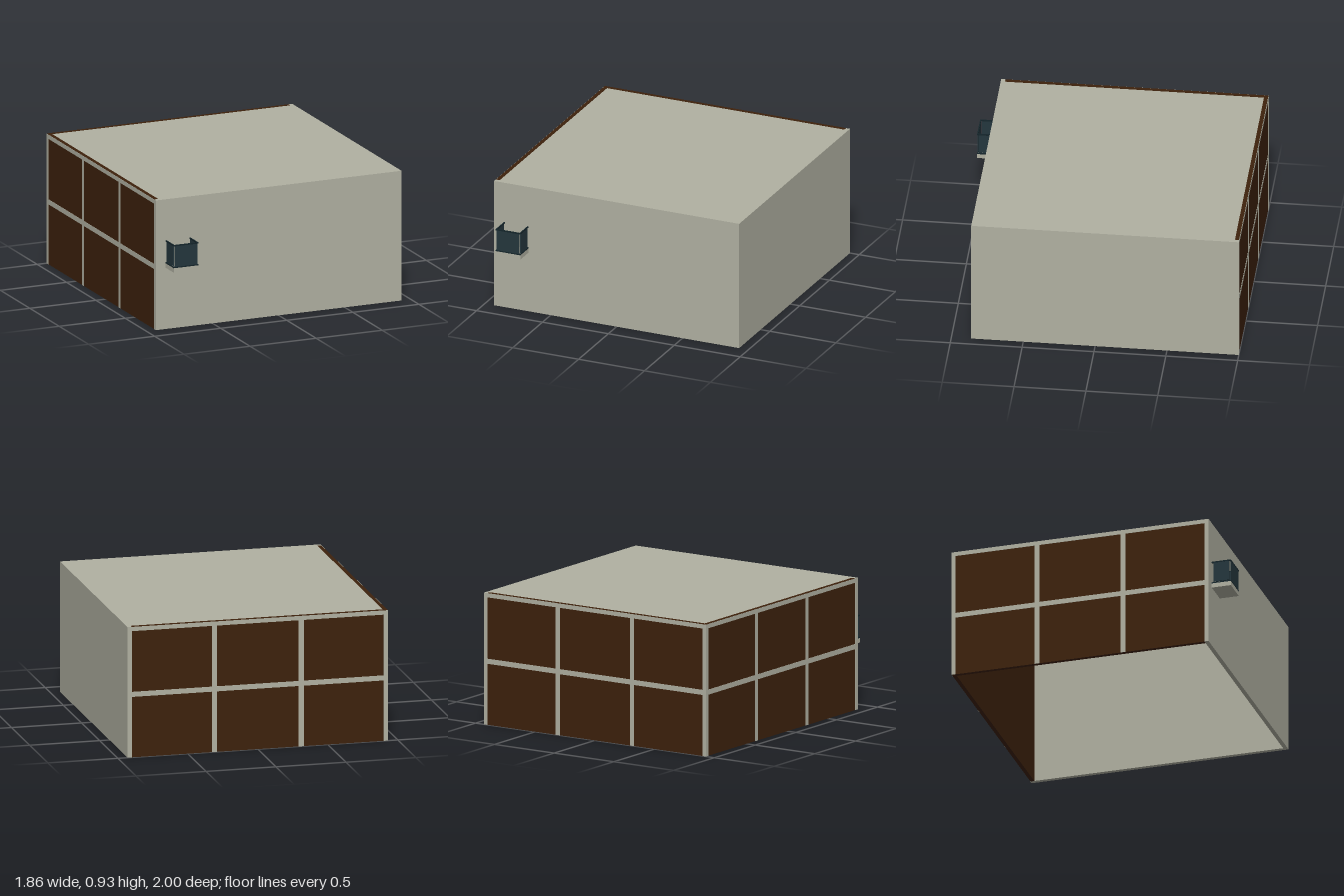
import * as THREE from 'three';

const mat = (name, color) => {
  const m = new THREE.MeshStandardMaterial({ color });
  m.name = name;
  return m;
};

export function createModel() {
  const concrete = mat('concrete', 0xb0b0a1);
  const brown = mat('brown glazing', 0x3d210c);
  const glass = mat('dark glass', 0x24363d);
  const metal = mat('dark metal', 0x14252b);

  const model = new THREE.Group();
  model.name = 'building';

  // Box given by its lowest and highest corners
  const block = (parent, name, material, [x0, y0, z0], [x1, y1, z1]) => {
    const mesh = new THREE.Mesh(new THREE.BoxGeometry(x1 - x0, y1 - y0, z1 - z0), material);
    mesh.position.set((x0 + x1) / 2, (y0 + y1) / 2, (z0 + z1) / 2);
    mesh.name = name;
    parent.add(mesh);
  };

  // Shell, open underneath
  const W = 0.93, H = 0.932, back = -1, front = 0.862, t = 0.03;
  const roofY = H - t;
  block(model, 'roof', concrete, [-W, roofY, back], [W, H, front]);
  block(model, 'frontWall', concrete, [-W, 0, front - t], [W, roofY, front]);
  block(model, 'leftWall', concrete, [W - t, 0, back], [W, roofY, front - t]);

  // Glazed walls, set just inside the frame and capping the roof edge
  const inset = 0.002, cap = H + 0.001;
  block(model, 'backGlazing', brown, [-W + inset, 0, back + inset], [W - t, cap, back + t]);
  block(model, 'rightGlazing', brown, [-W + inset, 0, back + t], [-W + t, cap, front - t]);

  // Thin frame bars on the glazed walls
  const bar = 0.036, midY = 0.45;
  const plate = 0.004;
  block(model, 'backRail', concrete, [-W, midY - bar / 2, back], [W - t, midY + bar / 2, back + plate]);
  block(model, 'rightRail', concrete, [-W, midY - bar / 2, back], [-W + plate, midY + bar / 2, front - t]);
  block(model, 'backCornerPost', concrete, [-W, 0, back], [-W + t, roofY, back + plate]);
  block(model, 'rightCornerPost', concrete, [-W, 0, back + plate], [-W + plate, roofY, back + t]);
  for (const i of [1, 2]) {
    const x = -W + (2 * W * i) / 3;
    const z = back + ((front - back) * i) / 3;
    block(model, 'backMullion', concrete, [x - bar / 2, 0, back], [x + bar / 2, roofY, back + plate]);
    block(model, 'rightMullion', concrete, [-W, 0, z - bar / 2], [-W + plate, roofY, z + bar / 2]);
  }

  // Small balcony on the front
  const balcony = new THREE.Group();
  balcony.name = 'balcony';
  model.add(balcony);
  const x0 = -0.855, x1 = -0.668, z1 = 1, r = 0.008;
  block(balcony, 'balconyFloor', concrete, [x0, 0.44, front], [x1, 0.472, z1]);
  for (const [y0, y1] of [[0.472, 0.48], [0.628, 0.637]]) {
    block(balcony, 'frontRailing', metal, [x0, y0, z1 - r], [x1, y1, z1]);
    for (const x of [x0, x1 - r])
      block(balcony, 'sideRailing', metal, [x, y0, front], [x + r, y1, z1 - r]);
  }
  block(balcony, 'frontPane', glass, [x0 + 0.01, 0.48, z1 - 0.007], [x1 - 0.01, 0.628, z1 - 0.001]);
  for (const x of [x0 + 0.001, x1 - 0.007])
    block(balcony, 'sidePane', glass, [x, 0.485, front + 0.012], [x + 0.006, 0.628, z1 - 0.012]);

  return model;
}
